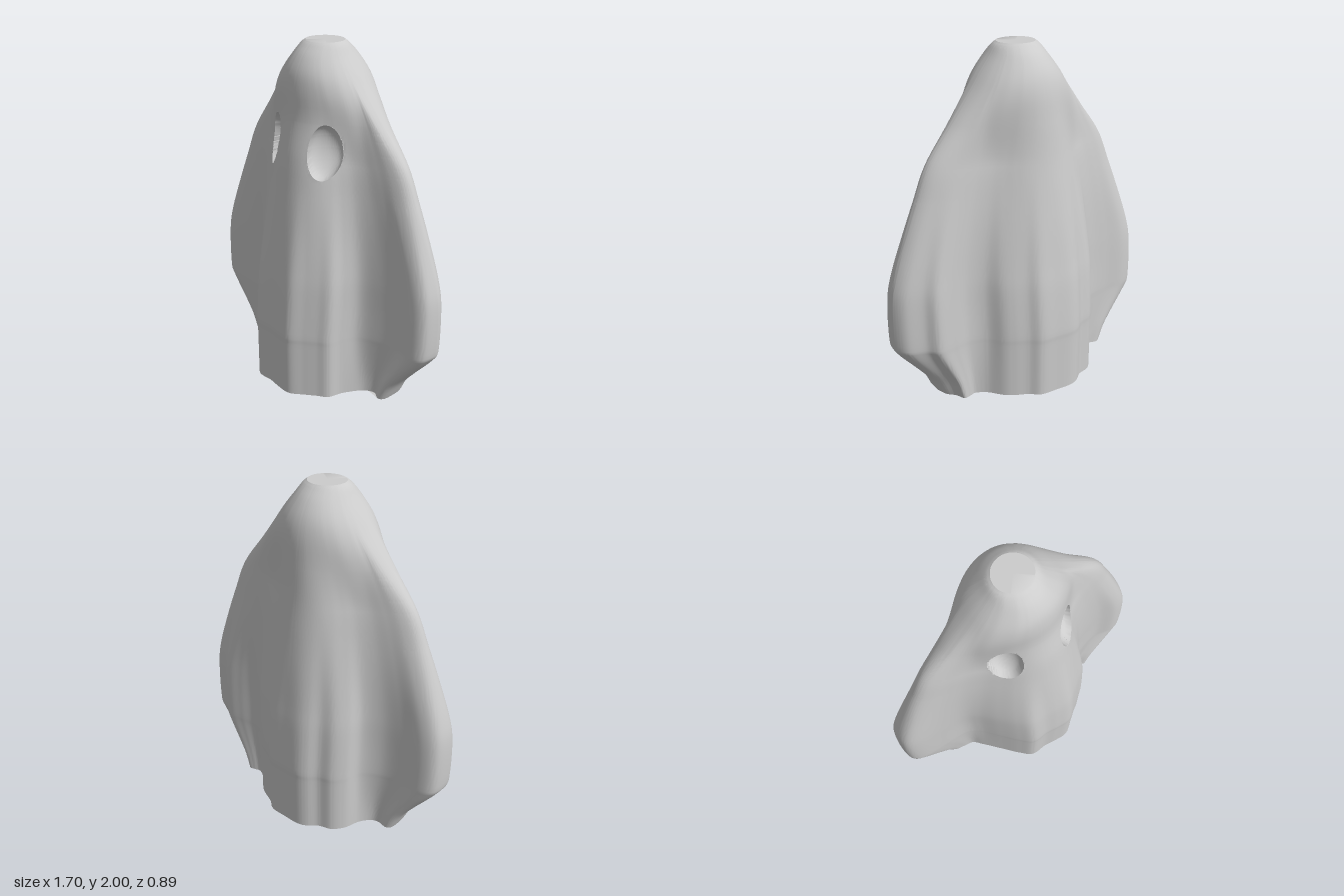
import * as THREE from 'three';
import { toCreasedNormals } from 'three/addons/utils/BufferGeometryUtils.js';

const W = 0.845, D = 0.445; // greatest half width and half depth

// Hem outline (x, z): left wing tip, front folds, right wing tip, back folds
const HEM = [
  [0.845, 0.02], [0.82, 0.1], [0.74, 0.125], [0.62, 0.095], [0.5, 0.11], [0.4, 0.15],
  [0.35, 0.23], [0.32, 0.31], [0.26, 0.35], [0.2, 0.39], [0.12, 0.44], [0.03, 0.435],
  [-0.05, 0.42], [-0.15, 0.415], [-0.22, 0.35], [-0.3, 0.25], [-0.38, 0.15], [-0.46, 0.1],
  [-0.6, 0.085], [-0.76, 0.068], [-0.83, 0.03], [-0.845, -0.05], [-0.82, -0.14], [-0.74, -0.17],
  [-0.6, -0.155], [-0.48, -0.165], [-0.38, -0.22], [-0.34, -0.31], [-0.28, -0.37], [-0.2, -0.39],
  [-0.14, -0.43], [-0.08, -0.445], [0.02, -0.435], [0.12, -0.42], [0.18, -0.37], [0.25, -0.33],
  [0.3, -0.29], [0.36, -0.21], [0.45, -0.17], [0.55, -0.175], [0.65, -0.175], [0.71, -0.12],
  [0.8, -0.075], [0.84, -0.02],
];

// Profile rows: height, half width, front depth, back depth
const ROWS = [
  [0, 0.58, 0.445, 0.44], [0.1, 0.63, 0.445, 0.44], [0.2, 0.71, 0.445, 0.44],
  [0.33, 0.82, 0.445, 0.44], [0.4, 0.845, 0.445, 0.44], [0.65, 0.845, 0.422, 0.42],
  [0.8, 0.818, 0.4, 0.4], [1, 0.75, 0.365, 0.372], [1.2, 0.672, 0.33, 0.34],
  [1.4, 0.585, 0.295, 0.308], [1.6, 0.43, 0.25, 0.284], [1.75, 0.31, 0.237, 0.265],
  [1.85, 0.235, 0.217, 0.235], [1.93, 0.172, 0.175, 0.185], [1.98, 0.135, 0.128, 0.135],
  [2, 0.11, 0.1, 0.11],
];

const smooth = THREE.MathUtils.smoothstep;
const lerp = THREE.MathUtils.lerp;

// Soften the folds of a loop, then stretch it back to a unit box
function soften(loop, times) {
  const n = loop.length;
  for (let k = 0; k < times; k++) {
    loop = loop.map((p, i) => [0, 1].map((a) =>
      p[a] * 0.5 + (loop[(i + 1) % n][a] + loop[(i + n - 1) % n][a]) * 0.25));
  }
  const ext = [0, 1].map((a) => [
    -Math.min(...loop.map((p) => p[a])), Math.max(...loop.map((p) => p[a]))]);
  return loop.map((p) => p.map((v, a) => v / ext[a][v > 0 ? 1 : 0]));
}

const sharpLoop = HEM.map(([x, z]) => [x / W, z / D]);
const softLoop = soften(sharpLoop, 4);
const headLoop = sharpLoop
  .map(([x, z]) => (Math.atan2(z, x) + Math.PI * 2) % (Math.PI * 2))
  .sort((a, b) => a - b)
  .map((t) => [Math.cos(t), Math.sin(t)]);

// One cross-section: folded hem, softer shoulders, round head
function section(y, halfWidth, front, back, count) {
  const fade = smooth(y, 0.5, 1.4), round = smooth(y, 1.38, 1.84);
  const points = sharpLoop.map((p, i) => {
    const [u, v] = [0, 1].map((a) =>
      lerp(lerp(p[a], softLoop[i][a], fade), headLoop[i][a], round));
    let x = u * halfWidth;
    if (y < 0.4) { // only the wings tuck in near the hem
      const ax = Math.abs(u * W);
      x = Math.sign(u) * (ax > 0.4 ? 0.4 + (ax - 0.4) * (halfWidth - 0.4) / (W - 0.4) : ax);
    }
    return new THREE.Vector3(x, y, v * (v > 0 ? front : back));
  });
  const curve = new THREE.CatmullRomCurve3(points, true, 'catmullrom', 0.5);
  return Array.from({ length: count }, (_, j) => curve.getPoint(j / count));
}

// Press the two oval eye sockets into the front, with a crisp rim
function pressEyes(p) {
  if (p.z < 0.03) return;
  for (const s of [-1, 1]) {
    const cx = s * 0.196, cy = 1.447, rx = 0.077, ry = 0.148;
    const lean = -s * 0.06;
    const dy = (p.y - cy) / ry;
    const dx = (p.x - cx - lean * (p.y - cy)) / rx;
    const r = Math.hypot(dx, dy);
    if (r > 1.05) continue;
    if (r > 0.95) {
      p.y = cy + dy / r * ry;
      p.x = cx + dx / r * rx + lean * (p.y - cy);
    } else {
      const depth = 0.085 * Math.sqrt(1 - r * r);
      p.x -= s * 0.45 * depth;
      p.z -= 0.89 * depth;
    }
  }
}

function sheetGeometry() {
  const cols = sharpLoop.length * 9;
  const main = new THREE.CatmullRomCurve3(
    ROWS.map(([y, w, f]) => new THREE.Vector3(w, y, f)), false, 'catmullrom', 0.5);
  const rear = new THREE.CatmullRomCurve3(
    ROWS.map(([y, , , b]) => new THREE.Vector3(b, y, 0)), false, 'catmullrom', 0.5);

  // Rows are finer around the eyes
  const steps = [];
  for (let i = 0; i < ROWS.length - 1; i++) {
    const n = ROWS[i][0] >= 1.2 && ROWS[i][0] < 1.6 ? 24 : 4;
    for (let k = 0; k < n; k++) steps.push((i + k / n) / (ROWS.length - 1));
  }
  steps.push(1);

  const pos = [], index = [];
  for (const t of steps) {
    const a = main.getPoint(t), b = rear.getPoint(t);
    for (const p of section(a.y, a.x, a.z, b.x, cols)) {
      pressEyes(p);
      pos.push(p.x, p.y, p.z);
    }
  }
  const last = (steps.length - 1) * cols, base = steps.length * cols;
  pos.push(0, 0, 0, 0, 2, 0);
  for (let j = 0; j < cols; j++) {
    const k = (j + 1) % cols;
    for (let r = 0; r < last; r += cols) {
      index.push(r + j, r + cols + j, r + k, r + k, r + cols + j, r + cols + k);
    }
    index.push(base, j, k, base + 1, last + k, last + j); // flat underside and crown
  }
  const geo = new THREE.BufferGeometry();
  geo.setAttribute('position', new THREE.Float32BufferAttribute(pos, 3));
  geo.setIndex(index);
  return toCreasedNormals(geo, 0.6);
}

export function createModel() {
  const group = new THREE.Group();
  group.name = 'sheetGhost';
  const cloth = new THREE.MeshStandardMaterial({ color: 0xcccccc });
  cloth.name = 'pale grey cloth';
  const sheet = new THREE.Mesh(sheetGeometry(), cloth);
  sheet.name = 'drapedSheet';
  group.add(sheet);
  return group;
}
